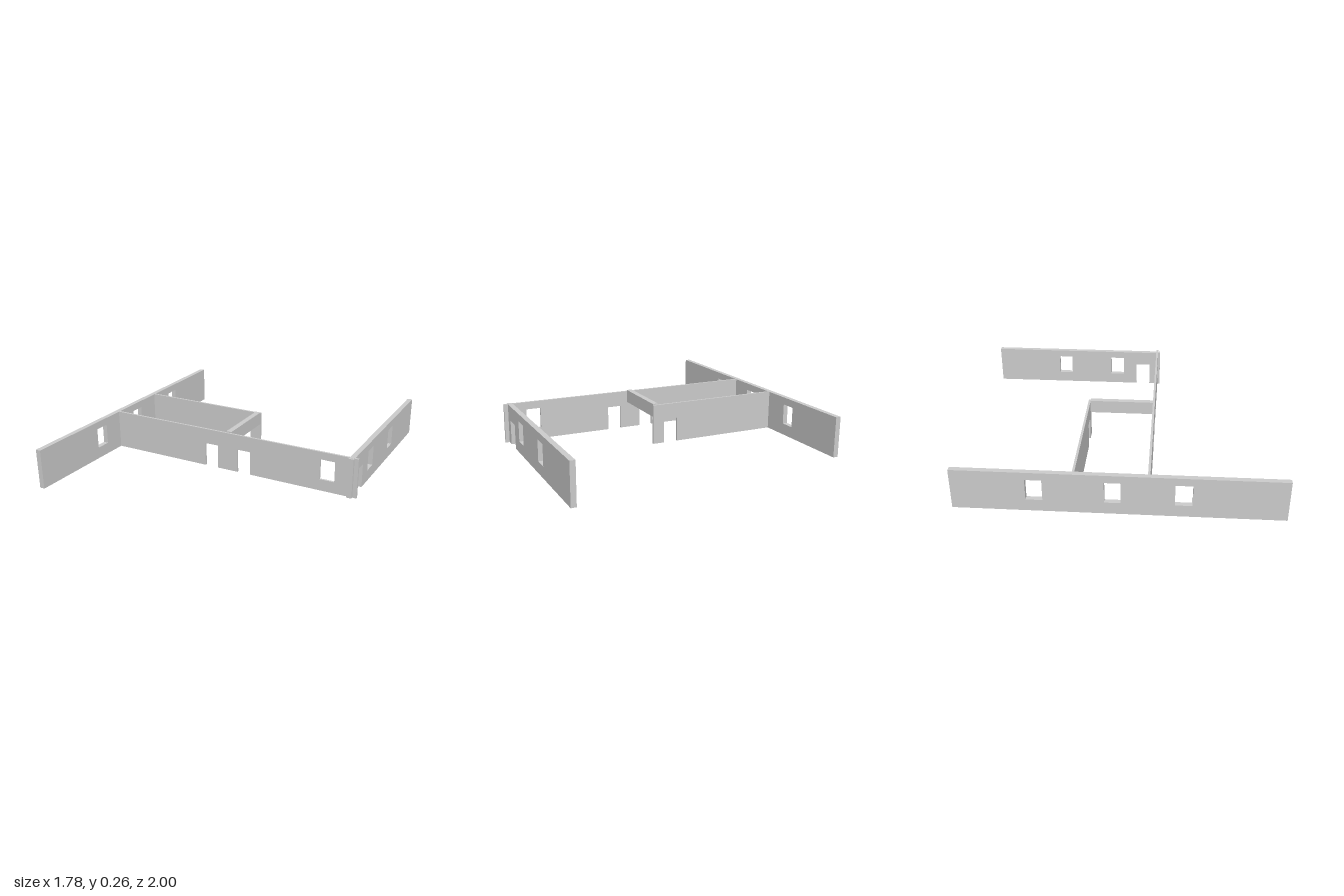
import * as THREE from 'three';

const material = new THREE.MeshStandardMaterial({ color: 0xcccccc, flatShading: true });
const SILL = 0.075, WINDOW_TOP = 0.208, DOOR_TOP = 0.157;

// Upright wall panel from a to b along one axis; doors notch the bottom edge, windows are holes.
function panel(name, a, b, height, thickness, doors = [], windows = []) {
  const shape = new THREE.Shape();
  shape.moveTo(a, 0);
  for (const [d0, d1] of doors) {
    shape.lineTo(d0, 0);
    shape.lineTo(d0, DOOR_TOP);
    shape.lineTo(d1, DOOR_TOP);
    shape.lineTo(d1, 0);
  }
  shape.lineTo(b, 0);
  shape.lineTo(b, height);
  shape.lineTo(a, height);
  shape.closePath();
  for (const [w0, w1] of windows) {
    const hole = new THREE.Path();
    hole.moveTo(w0, SILL);
    hole.lineTo(w0, WINDOW_TOP);
    hole.lineTo(w1, WINDOW_TOP);
    hole.lineTo(w1, SILL);
    hole.closePath();
    shape.holes.push(hole);
  }
  const geometry = new THREE.ExtrudeGeometry(shape, { depth: thickness, bevelEnabled: false });
  const mesh = new THREE.Mesh(geometry, material);
  mesh.name = name;
  return mesh;
}

// Wall running along x, its back face at z
function wallAlongX(name, x0, x1, z, height, thickness, doors, windows) {
  const mesh = panel(name, x0, x1, height, thickness, doors, windows);
  mesh.position.z = z;
  return mesh;
}

// Wall running along z, its lower-x face at x (openings given in z)
function wallAlongZ(name, z0, z1, x, height, thickness, doors = [], windows = []) {
  const flip = list => list.map(([p, q]) => [-q, -p]).sort((m, n) => m[0] - n[0]);
  const mesh = panel(name, -z1, -z0, height, thickness, flip(doors), flip(windows));
  mesh.rotation.y = Math.PI / 2; // panel x becomes -z, depth becomes +x
  mesh.position.x = x;
  return mesh;
}

export function createModel() {
  const group = new THREE.Group();
  group.name = 'floorWalls';

  // Long side wall with three windows
  group.add(wallAlongZ('longSideWall', -0.93, 1, -0.893, 0.256, 0.033, [],
    [[-0.495, -0.397], [-0.043, 0.053], [0.36, 0.46]]));

  // Opposite side wall with a door and two windows
  group.add(wallAlongZ('shortSideWall', -1, 0.234, 0.832, 0.256, 0.033,
    [[0.053, 0.155]], [[-0.541, -0.445], [-0.141, -0.042]]));

  // Front wall with two doors and a window
  group.add(wallAlongX('frontWall', -0.862, 0.891, 0.204, 0.257, 0.014,
    [[-0.163, -0.069], [0.075, 0.168]], [[0.648, 0.745]]));

  // Inner back wall with a door
  group.add(wallAlongX('backWall', -0.862, 0.026, -0.225, 0.258, 0.014,
    [[-0.144, -0.05]], []));

  // Beam bridging the front and back walls
  const beam = new THREE.Mesh(new THREE.BoxGeometry(0.036, 0.085, 0.417), material);
  beam.name = 'crossBeam';
  beam.position.set(0.008, 0.2225, -0.003);
  group.add(beam);

  return group;
}
